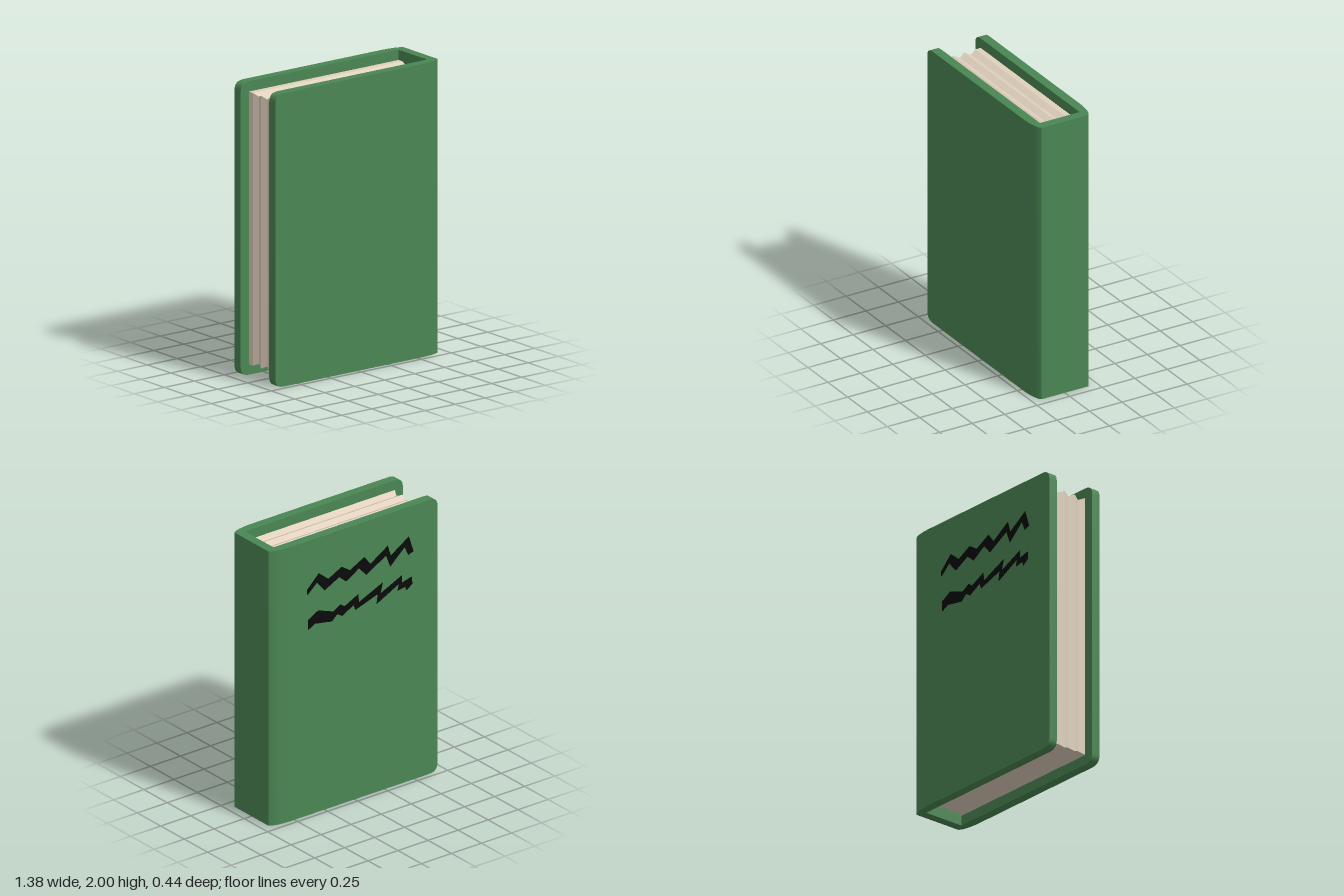
import * as THREE from 'three';
import { toCreasedNormals } from 'three/addons/utils/BufferGeometryUtils.js';

const HALF = 0.217, BOARD = 0.065, INNER = HALF - BOARD; // cover depth
const EDGE = 0.69, JOINT = 0.54, HEIGHT = 2;

const shapeOf = (pts) => new THREE.Shape(pts.map(([x, y]) => new THREE.Vector2(x, y)));

// Flat board with two rounded corners on the opening side
function boardGeometry() {
  const rx = 0.07, ry = 0.06, s = new THREE.Shape();
  s.moveTo(JOINT, 0);
  s.lineTo(JOINT, HEIGHT);
  s.lineTo(-EDGE + rx, HEIGHT);
  s.quadraticCurveTo(-EDGE, HEIGHT, -EDGE, HEIGHT - ry);
  s.lineTo(-EDGE, ry);
  s.quadraticCurveTo(-EDGE, 0, -EDGE + rx, 0);
  const g = new THREE.ExtrudeGeometry(s, { depth: BOARD, bevelEnabled: false, curveSegments: 6 });
  return toCreasedNormals(g, 0.6);
}

// C-shaped section with softened outer corners, extruded upwards
function spineGeometry() {
  const half = [[JOINT, INNER], [JOINT, HALF], [0.59, 0.213], [0.635, 0.206], [0.67, 0.195], [EDGE, 0.18]];
  const mirrored = half.map(([x, z]) => [x, -z]).reverse();
  const section = shapeOf([...half, ...mirrored, [0.625, -INNER], [0.625, INNER]]);
  const g = new THREE.ExtrudeGeometry(section, { depth: HEIGHT, bevelEnabled: false });
  g.rotateX(-Math.PI / 2);
  return toCreasedNormals(g, 0.4);
}

// Page block: rectangles stacked along z, alternately inset to form folds
function pagesGeometry() {
  const stations = [[-INNER, 0], [-0.11, 0], [-0.067, 0.02], [-0.024, 0], [0.02, 0.02],
    [0.063, 0], [0.106, 0.02], [INNER, 0]];
  const ring = ([z, inset]) => {
    const x = -0.622 + inset, lo = 0.07 + inset, hi = HEIGHT - lo;
    return [[x, lo, z], [0.625, lo, z], [0.625, hi, z], [x, hi, z]];
  };
  const rings = stations.map(ring), pos = [];
  for (let i = 0; i < rings.length - 1; i++) {
    const a = rings[i], b = rings[i + 1];
    for (let j = 0; j < 4; j++) {
      const k = (j + 1) % 4;
      pos.push(...a[j], ...a[k], ...b[k], ...a[j], ...b[k], ...b[j]);
    }
  }
  const g = new THREE.BufferGeometry();
  g.setAttribute('position', new THREE.Float32BufferAttribute(pos, 3));
  g.computeVertexNormals();
  return g;
}

// Outlines of the two jagged stripes on the back board
const UPPER = [[0.4, 1.645], [0.3, 1.74], [0.22, 1.675], [0.11, 1.73], [0.04, 1.685], [-0.08, 1.745],
  [-0.13, 1.68], [-0.275, 1.77], [-0.3, 1.69], [-0.45, 1.785], [-0.49, 1.665], [-0.445, 1.65],
  [-0.415, 1.715], [-0.295, 1.61], [-0.26, 1.70], [-0.095, 1.61], [-0.035, 1.675], [0.07, 1.61],
  [0.13, 1.66], [0.25, 1.6], [0.315, 1.675], [0.395, 1.605]];
const LOWER = [[0.39, 1.425], [0.305, 1.47], [0.18, 1.425], [0.12, 1.46], [0.085, 1.435], [-0.03, 1.49],
  [-0.035, 1.43], [-0.235, 1.515], [-0.215, 1.44], [-0.395, 1.52], [-0.395, 1.465], [-0.475, 1.485],
  [-0.48, 1.43], [-0.43, 1.395], [-0.42, 1.425], [-0.355, 1.415], [-0.365, 1.46], [-0.18, 1.37],
  [-0.19, 1.44], [-0.005, 1.38], [0.01, 1.42], [0.105, 1.37], [0.145, 1.395], [0.19, 1.355],
  [0.33, 1.38], [0.39, 1.35]];

export function createModel() {
  const model = new THREE.Group();
  model.name = 'book';
  const green = new THREE.MeshStandardMaterial({ color: 0x4a8753 });
  const paper = new THREE.MeshStandardMaterial({ color: 0xe0d0bc });
  const ink = new THREE.MeshStandardMaterial({ color: 0x0a0a0a, side: THREE.DoubleSide });
  const add = (name, geometry, material, z = 0) => {
    const mesh = new THREE.Mesh(geometry, material);
    mesh.name = name;
    mesh.position.z = z;
    model.add(mesh);
  };

  // Cover
  const board = boardGeometry();
  add('frontBoard', board, green, INNER);
  add('backBoard', board, green, -HALF);
  add('spine', spineGeometry(), green);

  // Pages
  add('pages', pagesGeometry(), paper);

  // Back decoration, just proud of the board
  add('upperZigzag', new THREE.ShapeGeometry(shapeOf(UPPER)), ink, -HALF - 0.002);
  add('lowerZigzag', new THREE.ShapeGeometry(shapeOf(LOWER)), ink, -HALF - 0.002);

  return model;
}
